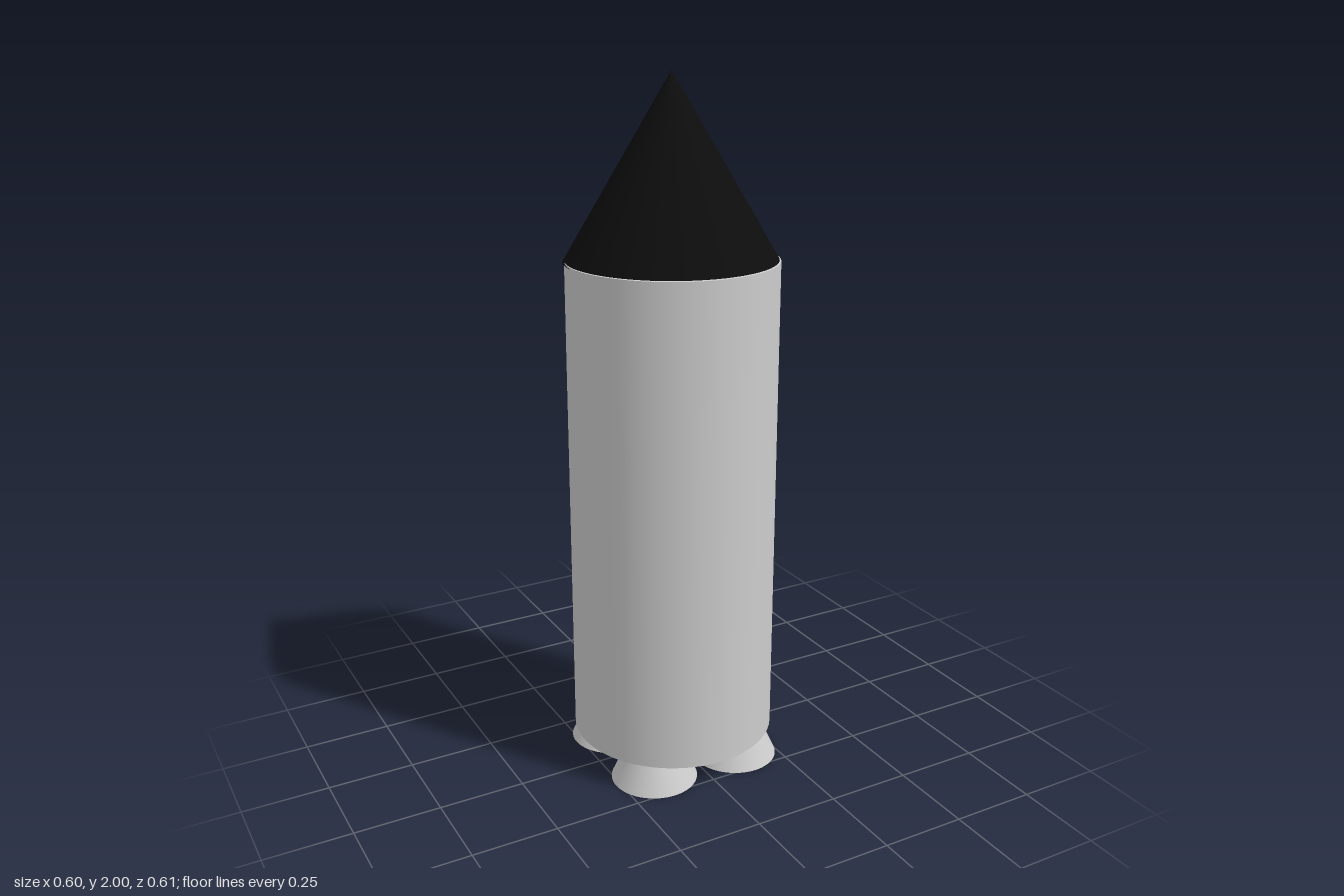
import * as THREE from 'three';

export function createModel() {
  const rocket = new THREE.Group();
  rocket.name = 'rocket';

  const lightGrey = new THREE.MeshStandardMaterial({ color: 0xcccccc });
  lightGrey.name = 'light grey';
  const black = new THREE.MeshStandardMaterial({ color: 0x0d0d0d });
  black.name = 'black';

  // Upright closed cylinder or cone standing between two heights
  function addRound(name, topRadius, bottomRadius, y0, y1, x, z, material) {
    const geometry = new THREE.CylinderGeometry(topRadius, bottomRadius, y1 - y0, 64);
    const mesh = new THREE.Mesh(geometry, material);
    mesh.name = name;
    mesh.position.set(x, (y0 + y1) / 2, z);
    rocket.add(mesh);
  }

  // Body and nose
  addRound('body', 0.296, 0.296, 0.09, 1.5, -0.003, 0.005, lightGrey);
  addRound('noseCone', 0, 0.298, 1.495, 2, 0, -0.006, black);

  // Four flared engine nozzles
  for (const [side, x] of [['Left', 0.133], ['Right', -0.139]]) {
    for (const [end, z] of [['front', 0.141], ['back', -0.131]]) {
      addRound(`${end}${side}Nozzle`, 0.085, 0.126, 0, 0.092, x, z, lightGrey);
    }
  }

  return rocket;
}
